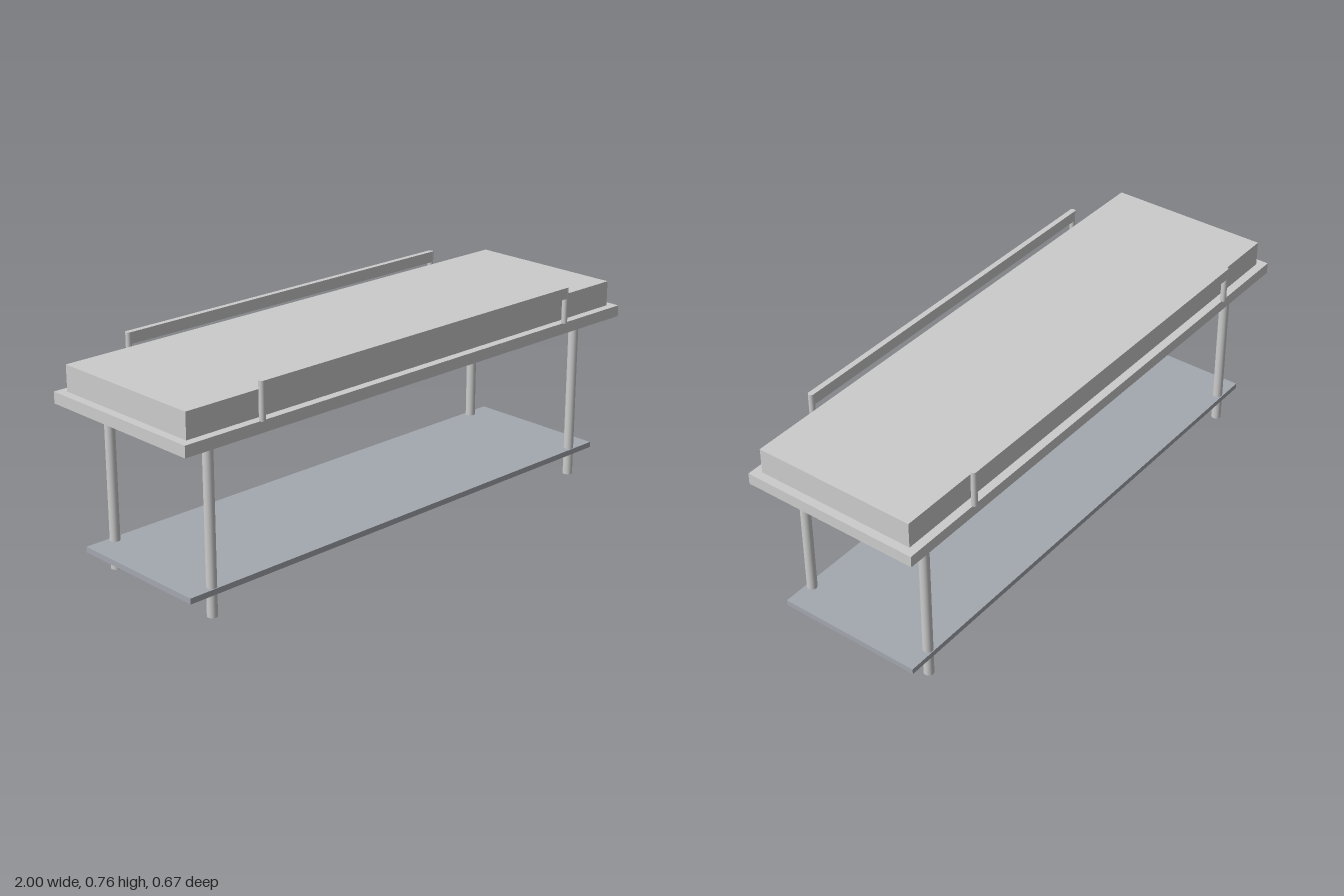
import * as THREE from 'three';

const lightGrey = new THREE.MeshStandardMaterial({ name: 'lightGrey', color: 0xcccccc });
const shelfGrey = new THREE.MeshStandardMaterial({ name: 'shelfGrey', color: 0xa4a8b0 });

export function createModel() {
  const model = new THREE.Group();
  model.name = 'wheelless trolley bed';

  const add = (name, geometry, material, x, y, z) => {
    const mesh = new THREE.Mesh(geometry, material);
    mesh.name = name;
    mesh.position.set(x, y, z);
    model.add(mesh);
  };

  // Flat slabs: lower shelf, bed frame and mattress
  add('lowerShelf', new THREE.BoxGeometry(1.9, 0.02, 0.53), shelfGrey, 0, 0.09, 0);
  add('bedFrame', new THREE.BoxGeometry(2, 0.04, 0.65), lightGrey, 0, 0.61, 0);
  add('mattress', new THREE.BoxGeometry(1.94, 0.09, 0.59), lightGrey, 0, 0.675, 0);

  const legGeometry = new THREE.CylinderGeometry(0.0175, 0.0175, 0.59, 24);
  const postGeometry = new THREE.CylinderGeometry(0.0105, 0.0105, 0.13, 16);
  const railGeometry = new THREE.BoxGeometry(1.4, 0.04, 0.02);

  for (const sz of [1, -1]) {
    const side = sz > 0 ? 'front' : 'back';
    // Side rail held by a post at each end
    add(`${side}Rail`, railGeometry, lightGrey, 0, 0.74, sz * 0.325);
    for (const sx of [1, -1]) {
      const hand = sx > 0 ? 'Left' : 'Right';
      add(`${side}${hand}RailPost`, postGeometry, lightGrey, sx * 0.7, 0.695, sz * 0.325);
      add(`${side}${hand}Leg`, legGeometry, lightGrey, sx * 0.85, 0.295, sz * 0.245);
    }
  }
  return model;
}
